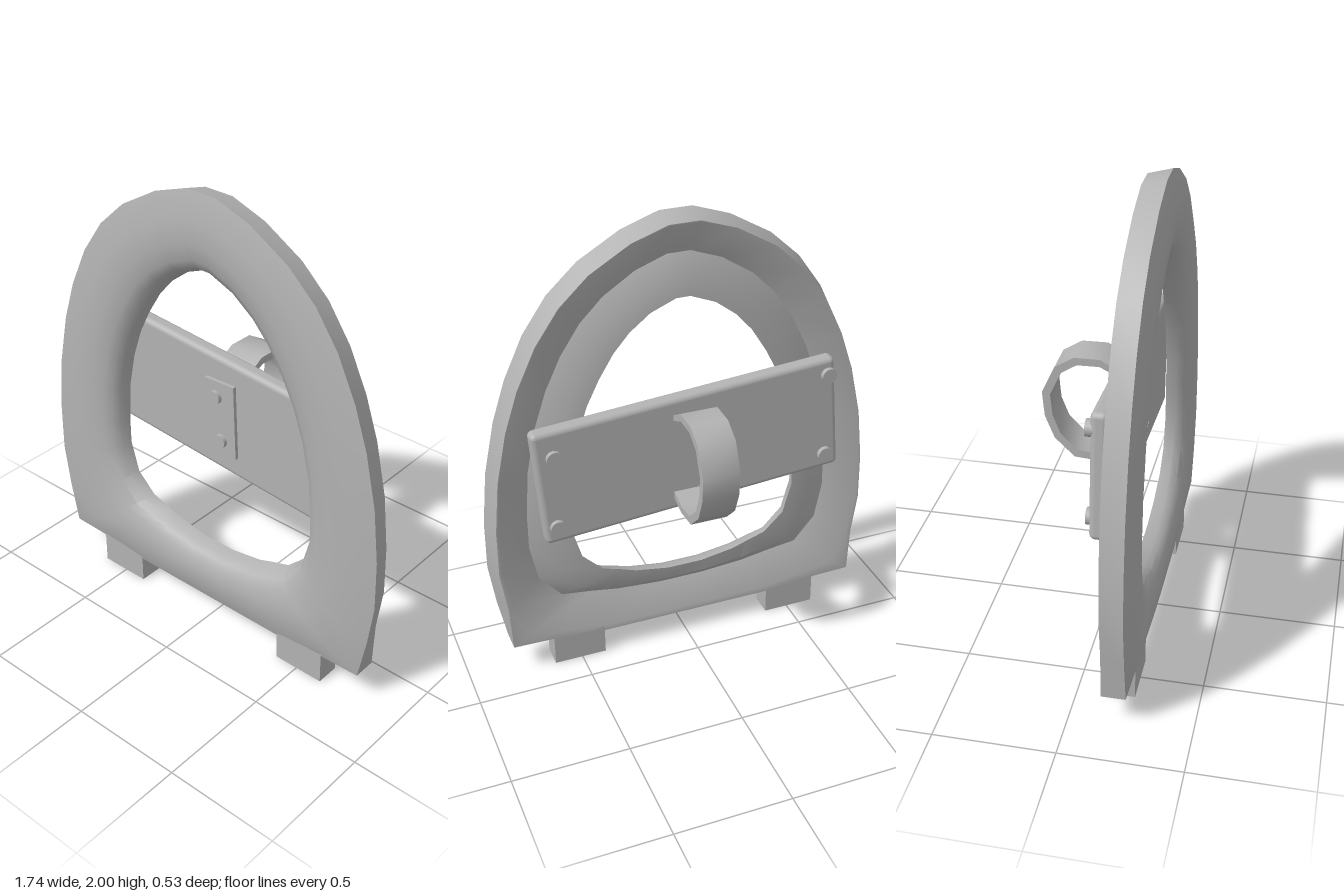
import * as THREE from 'three';
import { toCreasedNormals } from 'three/addons/utils/BufferGeometryUtils.js';
import { RoundedBoxGeometry } from 'three/addons/geometries/RoundedBoxGeometry.js';

const grey = new THREE.MeshStandardMaterial({ color: 0xb2b2b2 });
grey.name = 'grey';

function add(parent, name, geometry, x = 0, y = 0, z = 0, tilt = 0) {
  const mesh = new THREE.Mesh(geometry, grey);
  mesh.name = name;
  mesh.position.set(x, y, z);
  mesh.rotation.z = tilt;
  parent.add(mesh);
  return mesh;
}

// Right half of the frame: outer x, outer y, inner x, inner y, width share of the flat back rim
const half = [
  [0.07, 2.0, 0.03, 1.655, 0.09],
  [0.23, 1.945, 0.14, 1.61, 0.09],
  [0.41, 1.84, 0.23, 1.54, 0.09],
  [0.54, 1.72, 0.30, 1.46, 0.09],
  [0.645, 1.57, 0.365, 1.355, 0.09],
  [0.73, 1.39, 0.42, 1.245, 0.09],
  [0.79, 1.21, 0.465, 1.115, 0.09],
  [0.84, 0.98, 0.50, 0.95, 0.09],
  [0.865, 0.74, 0.51, 0.78, 0.1],
  [0.868, 0.52, 0.51, 0.66, 0.11],
  [0.842, 0.33, 0.47, 0.52, 0.13],
  [0.805, 0.14, 0.38, 0.435, 0.18],
  [0.62, 0.135, 0.30, 0.41, 0.13],
  [0.39, 0.115, 0.23, 0.385, 0.1],
  [0.13, 0.115, 0.08, 0.36, 0.1],
];

// Ring with a valley along its back: one closed cross-section per outline point
function frameGeometry() {
  const mirrored = half.map(([ox, oy, ix, iy, r]) => [-ox, oy, -ix, iy, r]).reverse();
  const loop = [...half, ...mirrored];
  const positions = [];
  const indices = [];
  let m = 0;
  loop.forEach(([ox, oy, ix, iy, rim]) => {
    const low = oy < 0.2;
    const profile = [
      [low ? 0 : 0.075, 0.135], [0, 0.234], [0.32, 0.262], [0.6, 0.262], [0.8, 0.25],
      [0.91, 0.23], [0.97, 0.2], [1, 0.155],
      [0.75, 0.165], [low ? 0.58 : 0.5, 0.205], [rim, 0.135],
    ];
    m = profile.length;
    for (const [t, z] of profile) {
      positions.push(ox + (ix - ox) * t, oy + (iy - oy) * t, z);
    }
  });
  const n = loop.length;
  for (let i = 0; i < n; i++) {
    for (let j = 0; j < m; j++) {
      const i2 = (i + 1) % n, j2 = (j + 1) % m;
      const a = i * m + j, b = i * m + j2, c = i2 * m + j, d = i2 * m + j2;
      indices.push(a, b, c, b, d, c);
    }
  }
  const geometry = new THREE.BufferGeometry();
  geometry.setAttribute('position', new THREE.Float32BufferAttribute(positions, 3));
  geometry.setIndex(indices);
  return toCreasedNormals(geometry, 0.55);
}

// Bent strap, drawn in z and y around its centre and extruded along x
function strapGeometry() {
  const outer = [
    [0.11, 0.185], [0.03, 0.232], [-0.08, 0.23], [-0.16, 0.18], [-0.215, 0.06],
    [-0.205, -0.05], [-0.165, -0.15], [-0.08, -0.232], [0.03, -0.24], [0.11, -0.213],
  ];
  const inner = outer.map(([z, y], i) => {
    const end = i === 0 || i === outer.length - 1;
    return [end ? z : z * 0.84, y * 0.86];
  }).reverse();
  const shape = new THREE.Shape([...outer, ...inner].map(([z, y]) => new THREE.Vector2(z, y)));
  const geometry = new THREE.ExtrudeGeometry(shape, { depth: 0.16, bevelEnabled: false });
  return toCreasedNormals(geometry.rotateY(-Math.PI / 2).translate(0.08, 0, 0), 0.9);
}

function boltGeometry(radius, length) {
  return new THREE.CylinderGeometry(radius, radius, length, 14).rotateX(Math.PI / 2);
}

export function createModel() {
  const model = new THREE.Group();
  model.name = 'framedMount';

  add(model, 'frame', frameGeometry());
  for (const side of [-1, 1]) {
    add(model, side < 0 ? 'rightFoot' : 'leftFoot',
      new THREE.BoxGeometry(0.232, 0.14, 0.103), side * 0.508, 0.07, 0.1865);
  }

  // Slanted cross plate with corner bolts on its back
  add(model, 'crossPlate', new RoundedBoxGeometry(1.335, 0.53, 0.07, 3, 0.024), 0, 0.996, 0.097, -0.078);
  const corners = [[-0.615, 1.235], [-0.615, 0.85], [0.595, 1.095], [0.595, 0.765]];
  for (const [x, y] of corners) add(model, 'cornerBolt', boltGeometry(0.034, 0.04), x, y, 0.062);

  // Bolted tab on the front of the plate
  add(model, 'frontTab', new THREE.BoxGeometry(0.153, 0.338, 0.02), 0.006, 0.99, 0.138, 0.035);
  for (const [x, y] of [[-0.015, 1.087], [0.012, 0.888]]) {
    add(model, 'tabBolt', boltGeometry(0.03, 0.03), x, y, 0.15);
  }

  // Strap loop behind the plate
  add(model, 'strapLoop', strapGeometry(), 0.004, 1, -0.05);
  return model;
}
